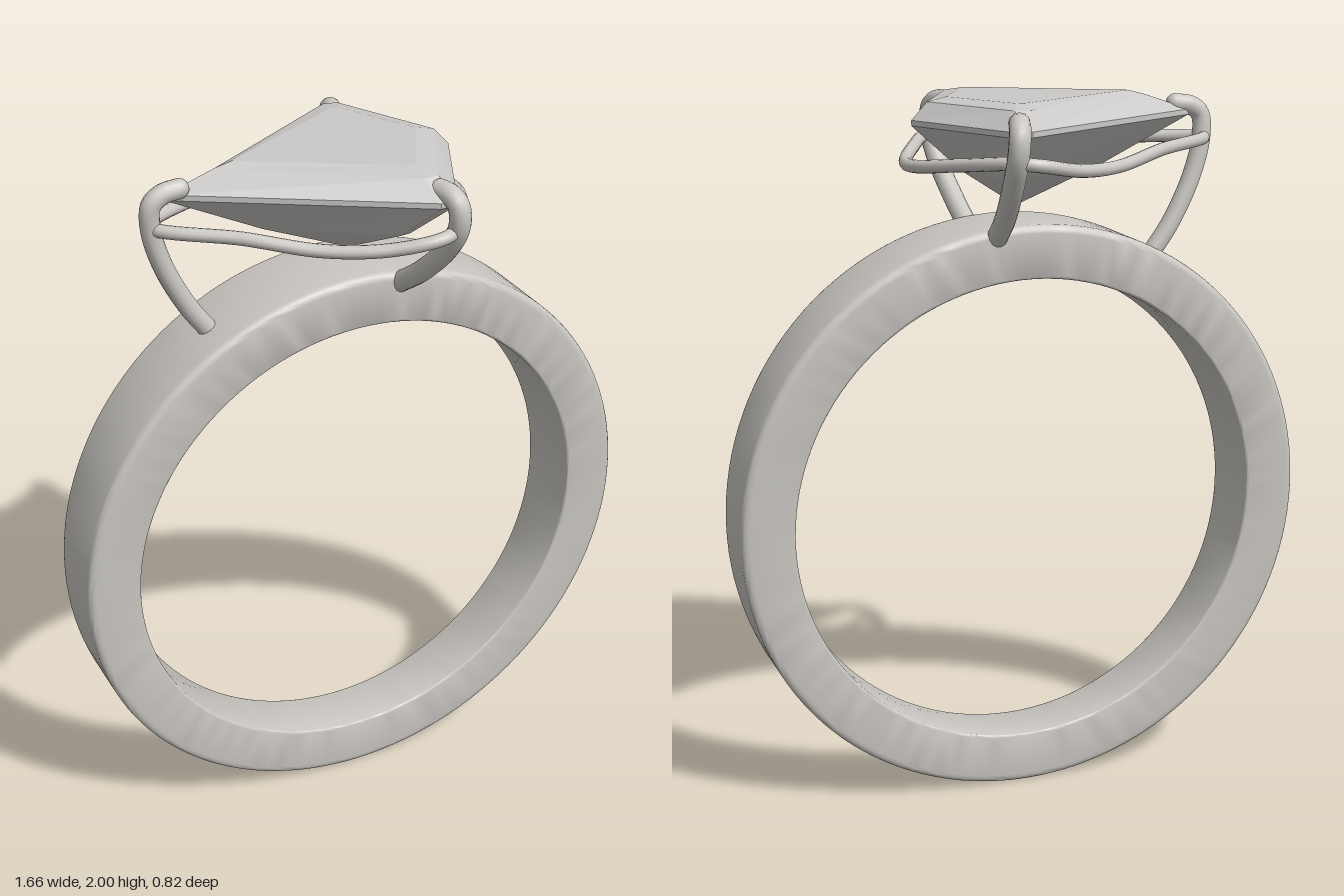
import * as THREE from 'three';
import { toCreasedNormals } from 'three/addons/utils/BufferGeometryUtils.js';

const metal = new THREE.MeshStandardMaterial({ color: 0xcac7c2 });
metal.name = 'metal';
const gem = new THREE.MeshStandardMaterial({ color: 0xcac9c7 });
gem.name = 'gem';

const V = (p) => new THREE.Vector3(...p);

function addMesh(parent, name, geometry, material) {
  const mesh = new THREE.Mesh(geometry, material);
  mesh.name = name;
  parent.add(mesh);
  return mesh;
}

// Band: rounded rectangle turned round the z axis, narrowing towards the bottom
function bandGeometry() {
  const inner = 0.68, outer = 0.83, half = 0.14;
  const corners = [[outer, -half, 0.022], [outer, half, 0.022], [inner, half, 0.01], [inner, -half, 0.01]];
  const profile = [];
  corners.forEach(([r, h, e], k) => {
    const cx = r - Math.sign(r - 0.75) * e, cy = h - Math.sign(h) * e;
    for (let i = 0; i <= 4; i++) {
      const a = (k - 1 + i / 4) * Math.PI / 2;
      profile.push(new THREE.Vector2(cx + e * Math.cos(a), cy + e * Math.sin(a)));
    }
  });
  profile.push(profile[0].clone());
  const geo = new THREE.LatheGeometry(profile, 128);
  geo.rotateX(Math.PI / 2).translate(0, outer, 0);
  const pos = geo.attributes.position;
  for (let i = 0; i < pos.count; i++) {
    const width = (0.082 + 0.058 * pos.getY(i) / 1.66) / half;
    pos.setZ(i, pos.getZ(i) * width - 0.008);
  }
  return toCreasedNormals(geo, 0.6);
}

// One level of the kite outline, with its two side corners cut off
function kite(y, left, cornerX, cornerZ, right, cut) {
  return [
    [left, y, 0],
    [cornerX - cut, y, cornerZ], [cornerX + cut, y, cornerZ - cut * 0.3],
    [right, y, 0],
    [cornerX + cut, y, -cornerZ + cut * 0.3], [cornerX - cut, y, -cornerZ],
  ];
}

// Stone: faceted levels from the bottom point to the flat table
function stoneGeometry() {
  const levels = [
    kite(1.795, -0.25, 0.07, 0.2, 0.155, 0.015),
    kite(1.925, -0.52, 0.11, 0.36, 0.3, 0.025),
    kite(1.94, -0.52, 0.11, 0.36, 0.3, 0.025),
    kite(1.988, -0.38, 0.09, 0.3, 0.255, 0.02),
    kite(2.0, -0.33, 0.07, 0.23, 0.2, 0.012),
  ];
  const tip = [0, 1.695, 0], table = levels[4], out = [];
  const tri = (...pts) => pts.forEach((p) => out.push(...p));
  for (let i = 0; i < 6; i++) {
    const j = (i + 1) % 6;
    tri(tip, levels[0][j], levels[0][i]);
    for (let k = 0; k < 4; k++) {
      const a = levels[k], b = levels[k + 1];
      tri(a[i], a[j], b[j]);
      tri(a[i], b[j], b[i]);
    }
    if (i > 0 && i < 5) tri(table[0], table[i], table[j]);
  }
  const geo = new THREE.BufferGeometry();
  geo.setAttribute('position', new THREE.Float32BufferAttribute(out, 3));
  geo.computeVertexNormals();
  return geo;
}

// Claw: curved wire with rounded ends
function addClaw(parent, name, points, radius) {
  const claw = new THREE.Group();
  claw.name = name;
  const curve = new THREE.CatmullRomCurve3(points.map(V));
  addMesh(claw, 'clawWire', new THREE.TubeGeometry(curve, 48, radius, 14), metal);
  [0, 1].forEach((t) => {
    const end = addMesh(claw, 'clawEnd', new THREE.SphereGeometry(radius, 14, 10), metal);
    end.position.copy(curve.getPoint(t));
  });
  parent.add(claw);
}

export function createModel() {
  const ring = new THREE.Group();
  ring.name = 'ring';

  addMesh(ring, 'band', bandGeometry(), metal);
  addMesh(ring, 'stone', stoneGeometry(), gem);

  // Claws at the three main corners
  addClaw(ring, 'rightClaw', [
    [-0.4, 1.52, 0], [-0.47, 1.62, 0], [-0.535, 1.75, 0.005], [-0.565, 1.86, 0.01],
    [-0.562, 1.925, 0.015], [-0.53, 1.95, 0.015], [-0.485, 1.957, 0.015],
  ], 0.027);
  for (const side of [1, -1]) {
    addClaw(ring, side > 0 ? 'frontClaw' : 'backClaw', [
      [0.1, 1.62, 0.115], [0.11, 1.69, 0.215], [0.125, 1.79, 0.32], [0.13, 1.88, 0.377],
      [0.125, 1.935, 0.375], [0.115, 1.955, 0.345], [0.105, 1.957, 0.315],
    ].map(([x, y, z]) => [x, y, z * side]), 0.029);
  }

  // Wavy rail wire joining the claws
  const half = [
    [-0.37, 1.85, 0.15], [-0.2, 1.825, 0.255], [-0.06, 1.83, 0.335],
    [0.07, 1.855, 0.387], [0.135, 1.86, 0.36], [0.23, 1.842, 0.21],
  ];
  const loop = [
    [-0.565, 1.86, 0], ...half, [0.31, 1.82, 0],
    ...half.map(([x, y, z]) => [x, y, -z]).reverse(),
  ];
  const railCurve = new THREE.CatmullRomCurve3(loop.map(V), true);
  addMesh(ring, 'rail', new THREE.TubeGeometry(railCurve, 160, 0.018, 12, true), metal);

  return ring;
}
